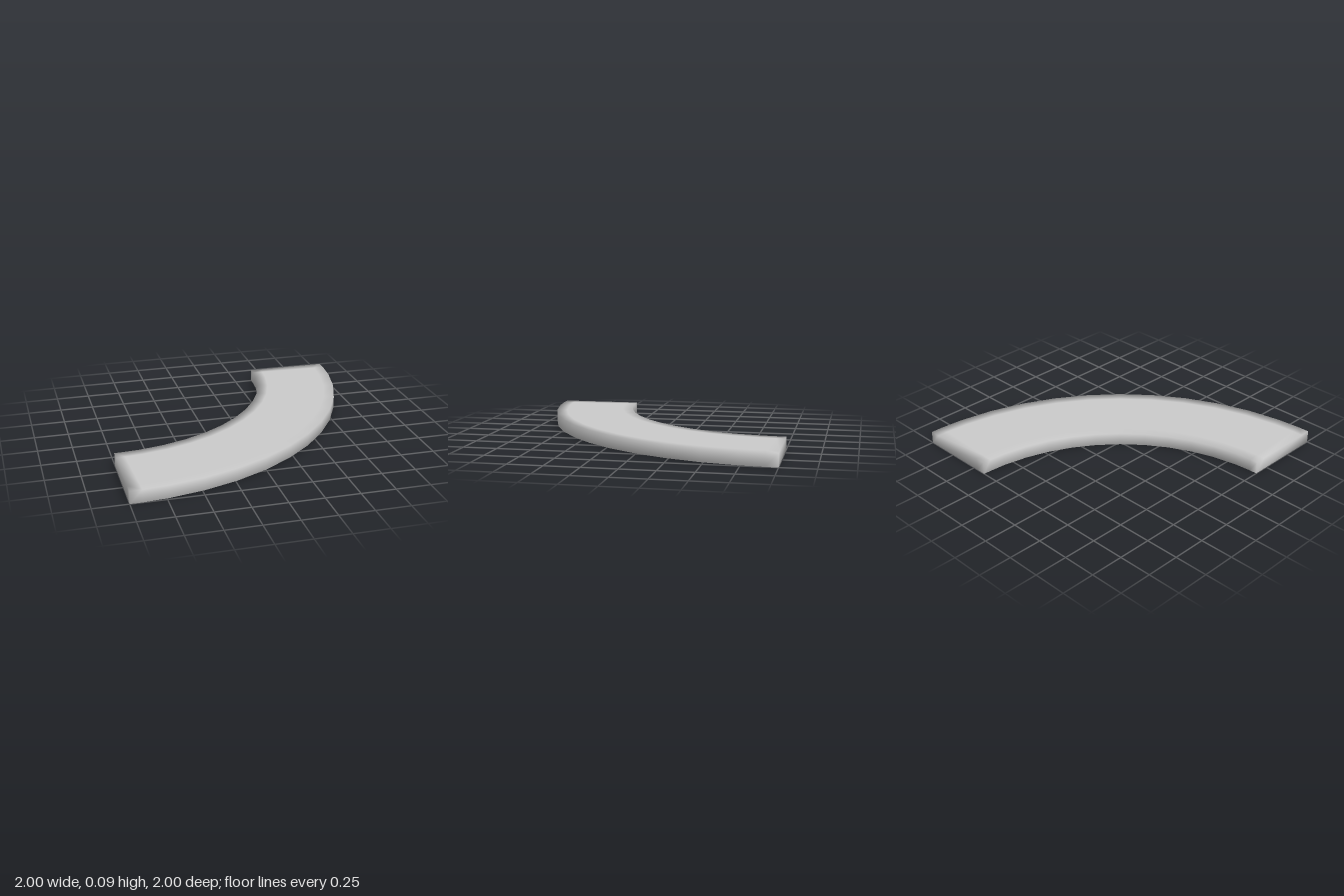
import * as THREE from 'three';
import { mergeVertices } from 'three/addons/utils/BufferGeometryUtils.js';

const INNER = 1.385, OUTER = 2, HEIGHT = 0.093, INSET = 0.08, SEGMENTS = 12;

// Quarter-ring slab: a box bent around the corner (-1, -1), with a narrow
// strip along every edge so the smooth shading stays close to the rim.
function curvedSlab() {
  const radii = [INNER, INNER + INSET, OUTER - INSET, OUTER];
  const degrees = [0, 2.5];
  for (let i = 1; i < SEGMENTS; i++) degrees.push((i * 90) / SEGMENTS);
  degrees.push(87.5, 90);
  const rows = degrees.length - 1;

  const box = new THREE.BoxGeometry(3, 1, rows, 3, 1, rows);
  box.deleteAttribute('normal');
  box.deleteAttribute('uv');
  const slab = mergeVertices(box);
  slab.clearGroups();

  const pos = slab.attributes.position;
  for (let i = 0; i < pos.count; i++) {
    const r = radii[Math.round(pos.getX(i) + 1.5)];
    const a = THREE.MathUtils.degToRad(degrees[Math.round(pos.getZ(i) + rows / 2)]);
    pos.setXYZ(i, -1 + r * Math.cos(a), (pos.getY(i) + 0.5) * HEIGHT, -1 + r * Math.sin(a));
  }
  slab.computeVertexNormals();

  // Lean the rim normals outward so the walls shade evenly
  const normals = slab.attributes.normal;
  const n = new THREE.Vector3();
  for (let i = 0; i < normals.count; i++) {
    n.fromBufferAttribute(normals, i);
    n.y *= 0.5;
    n.normalize();
    normals.setXYZ(i, n.x, n.y, n.z);
  }
  return slab;
}

export function createModel() {
  const model = new THREE.Group();
  model.name = 'curvedSection';
  const slab = new THREE.Mesh(curvedSlab(), new THREE.MeshStandardMaterial({ color: 0xcccccc }));
  slab.name = 'curvedSlab';
  model.add(slab);
  return model;
}
